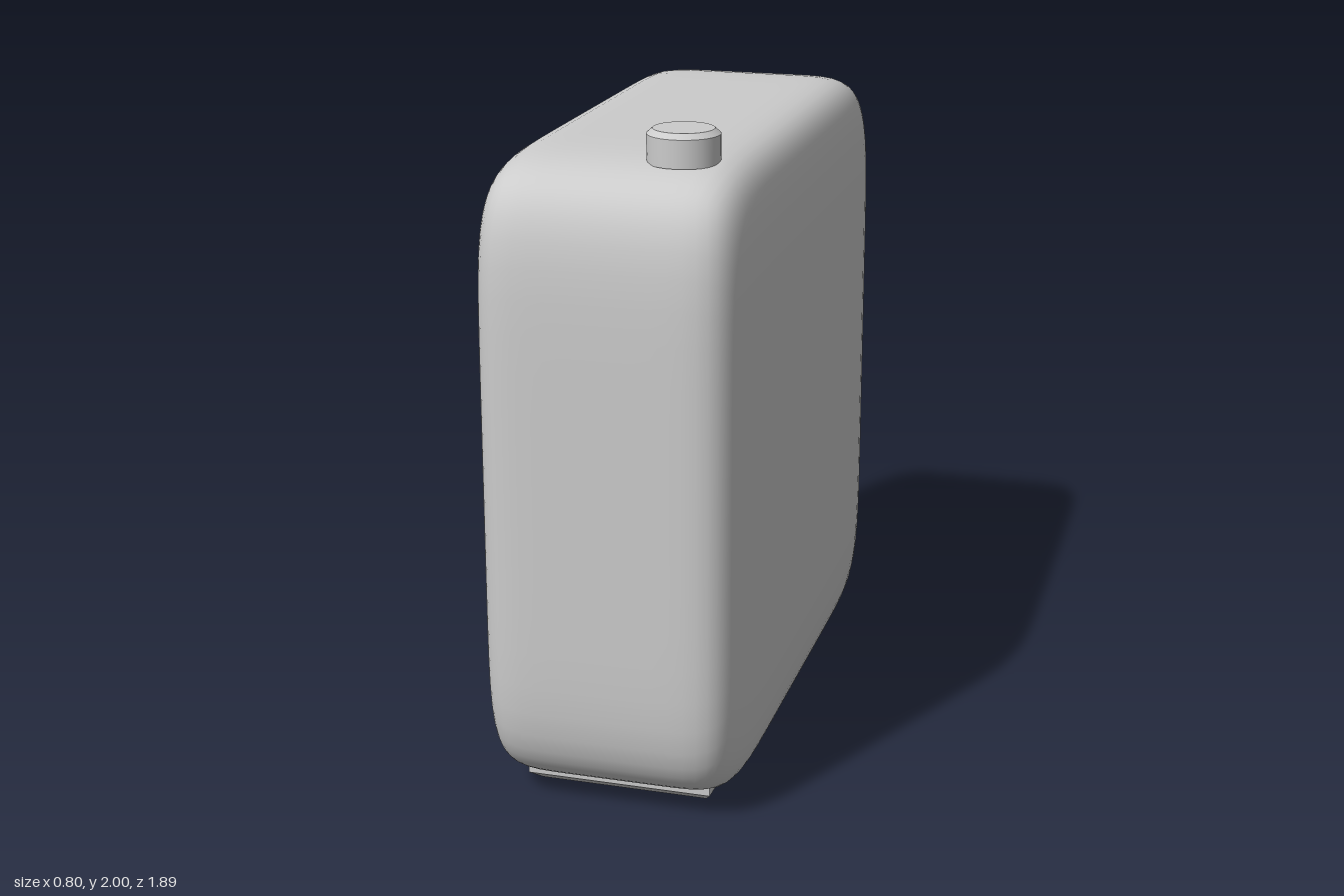
import * as THREE from 'three';

const HALF = new THREE.Vector3(0.4, 0.946, 0.943);
const CENTRE_Y = 0.979;
const POWER = 8;

// Pillow-edged box: a cube grid pushed onto a superellipsoid, with exact normals
function softBox(half, power, segments) {
  const geo = new THREE.BoxGeometry(2, 2, 2, segments, segments, segments);
  const pos = geo.attributes.position;
  const nor = geo.attributes.normal;
  const p = new THREE.Vector3();
  const n = new THREE.Vector3();
  const warp = (t) => Math.sin(t * Math.PI / 2); // crowds the grid towards the edges
  const slope = (t) => Math.sign(t) * Math.abs(t) ** (power - 1);
  for (let i = 0; i < pos.count; i++) {
    p.fromBufferAttribute(pos, i);
    p.set(warp(p.x), warp(p.y), warp(p.z));
    const sum = p.x ** power + p.y ** power + p.z ** power;
    p.multiplyScalar(sum ** (-1 / power));
    n.set(slope(p.x), slope(p.y), slope(p.z)).divide(half).normalize();
    p.multiply(half);
    pos.setXYZ(i, p.x, p.y, p.z);
    nor.setXYZ(i, n.x, n.y, n.z);
  }
  return geo;
}

// Low bar across the underside, with its ends drawn in towards the ground
function footGeometry() {
  const profile = new THREE.Shape();
  profile.moveTo(-0.12, 0.037);
  profile.lineTo(-0.045, 0.006);
  profile.quadraticCurveTo(0, -0.006, 0.045, 0.006);
  profile.lineTo(0.1, 0.045);
  profile.lineTo(0.1, 0.09);
  profile.lineTo(-0.12, 0.09);
  profile.closePath();
  const geo = new THREE.ExtrudeGeometry(profile, { depth: 0.56, bevelEnabled: false, curveSegments: 6 });
  geo.translate(0, 0, -0.28);
  geo.rotateY(-Math.PI / 2);
  const pos = geo.attributes.position;
  for (let i = 0; i < pos.count; i++) {
    if (pos.getY(i) < 0.02) pos.setX(i, pos.getX(i) * 0.91);
  }
  geo.computeVertexNormals();
  return geo;
}

export function createModel() {
  const group = new THREE.Group();
  const material = new THREE.MeshStandardMaterial({ color: 0xcccccc });
  const add = (name, geometry, x, y, z) => {
    const mesh = new THREE.Mesh(geometry, material);
    mesh.name = name;
    mesh.position.set(x, y, z);
    group.add(mesh);
    return mesh;
  };

  // Main case
  add('body', softBox(HALF, POWER, 24), 0, CENTRE_Y, 0);

  // Front and rear feet, mirrored
  const foot = footGeometry();
  add('frontFoot', foot, 0, 0, 0.68);
  add('rearFoot', foot, 0, 0, -0.69).rotation.y = Math.PI;

  // Round button on top: straight wall and chamfered rim
  add('buttonWall', new THREE.CylinderGeometry(0.103, 0.103, 0.08, 32, 1, true), 0.17, 1.945, 0.665);
  add('buttonRim', new THREE.CylinderGeometry(0.086, 0.103, 0.015, 32), 0.17, 1.9925, 0.665);

  return group;
}
